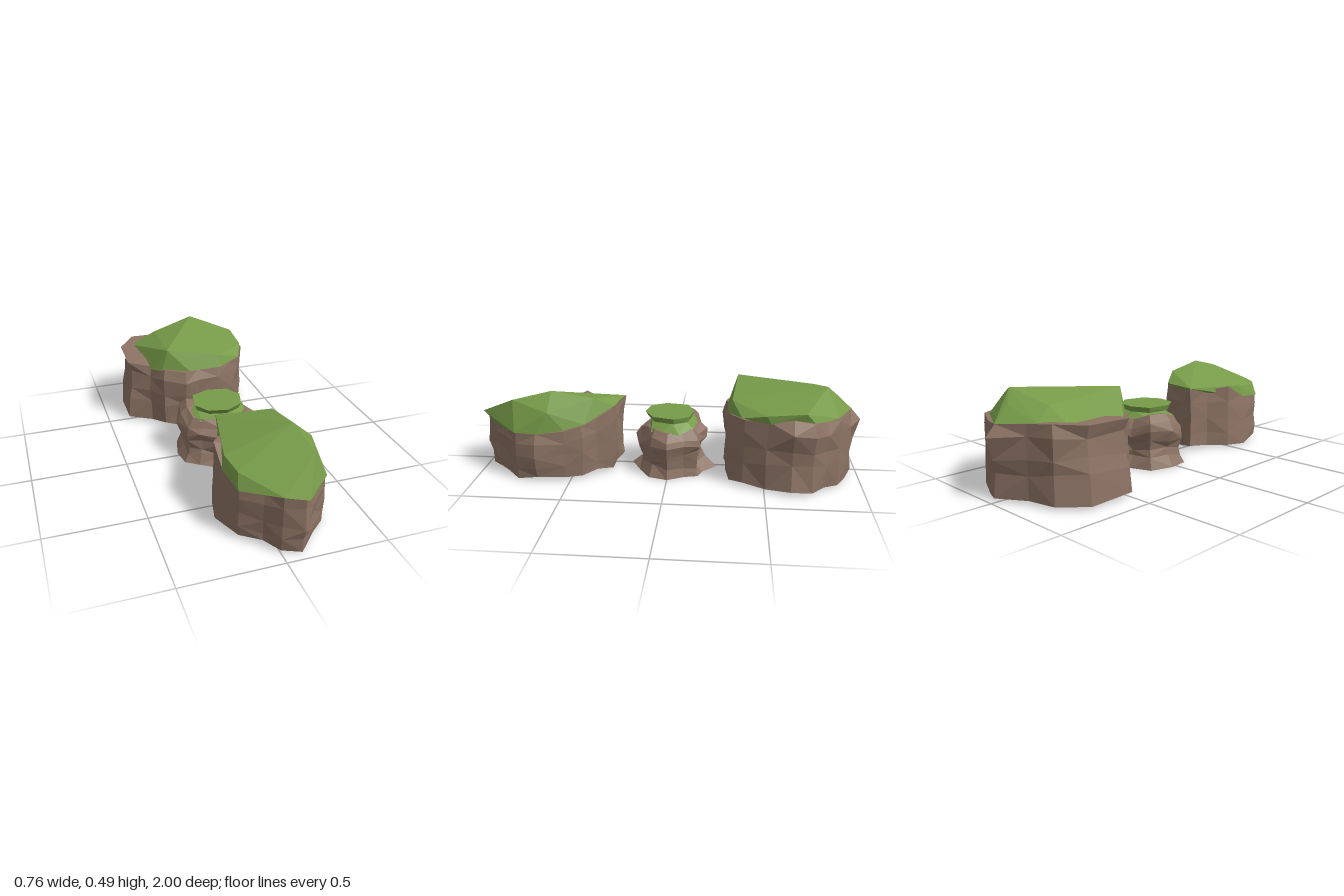
import * as THREE from 'three';
import { ConvexGeometry } from 'three/addons/geometries/ConvexGeometry.js';

const stone = new THREE.MeshStandardMaterial({ color: 0x8c7364, flatShading: true, side: THREE.DoubleSide });
stone.name = 'brown stone';
const moss = new THREE.MeshStandardMaterial({ color: 0x779c49, flatShading: true });
moss.name = 'green moss';

function seeded(seed) {
  return () => (seed = (seed * 16807) % 2147483647) / 2147483647;
}

// Craggy body: outline rows are [x, z, top height, optional scale per level],
// levels are [fraction of height, scale about the centre]
function stoneBody({ outline, levels, centre: [cx, cz], rough, baseLift, seed, openBase }) {
  const rand = seeded(seed);
  const n = outline.length;
  const rings = levels.map(([t, s], k) => outline.map(([x, z, top, scales]) => {
    const edge = k === 0 || k === levels.length - 1;
    const loose = Math.min(1.01, s + (rand() - 0.5) * (edge ? 0.03 : rough));
    const scale = scales ? scales[k] : loose;
    const shift = rand();
    const lift = k === 0 ? shift * baseLift : edge ? 0 : (shift - 0.5) * 0.03;
    return [cx + (x - cx) * scale, t * top + lift, cz + (z - cz) * scale];
  }));
  const pos = [];
  for (let k = 0; k < rings.length - 1; k++) {
    for (let i = 0; i < n; i++) {
      const j = (i + 1) % n;
      const a = rings[k][j], b = rings[k][i], c = rings[k + 1][i], d = rings[k + 1][j];
      if ((i + k) % 2) pos.push(...a, ...b, ...c, ...a, ...c, ...d);
      else pos.push(...a, ...b, ...d, ...b, ...c, ...d);
    }
  }
  // Caps
  const topRing = rings[rings.length - 1];
  const meanTop = topRing.reduce((sum, p) => sum + p[1], 0) / n;
  for (let i = 0; i < n; i++) {
    const j = (i + 1) % n;
    pos.push(...topRing[j], ...topRing[i], cx, meanTop, cz);
    if (!openBase) pos.push(...rings[0][i], ...rings[0][j], cx, 0.015, cz);
  }
  const geo = new THREE.BufferGeometry();
  geo.setAttribute('position', new THREE.Float32BufferAttribute(pos, 3));
  geo.computeVertexNormals();
  return geo;
}

function rock(name, spec) {
  const group = new THREE.Group();
  group.name = name;
  const body = new THREE.Mesh(stoneBody(spec), stone);
  body.name = name + 'Stone';
  group.add(body);
  spec.caps.forEach((cap, i) => {
    const top = new THREE.Mesh(new ConvexGeometry(cap.map(p => new THREE.Vector3(...p))), moss);
    top.name = name + 'Moss' + (i + 1);
    group.add(top);
  });
  return group;
}

// Large rock at the back, with a bare shoulder jutting out on its right
const shoulder = [1, 0.97, 0.93, 0.91, 0.97];
const backRock = {
  centre: [0, -0.64], rough: 0.06, baseLift: 0.03, seed: 11,
  levels: [[0, 0.97], [0.38, 0.96], [0.58, 0.97], [0.84, 0.985], [1, 0.94]],
  outline: [
    [0.02, -1.0, 0.355, [0.92, 0.88, 0.92, 1, 0.86]], [0.12, -0.94, 0.35], [0.24, -0.88, 0.36],
    [0.28, -0.81, 0.36], [0.35, -0.74, 0.37], [0.378, -0.63, 0.385, [0.97, 0.9, 0.92, 1, 0.87]],
    [0.33, -0.5, 0.37], [0.28, -0.38, 0.36], [0.2, -0.31, 0.36], [0.12, -0.29, 0.35],
    [0, -0.3, 0.35], [-0.08, -0.28, 0.35], [-0.2, -0.33, 0.36], [-0.26, -0.43, 0.35],
    [-0.38, -0.49, 0.37, shoulder], [-0.375, -0.73, 0.375, shoulder],
    [-0.28, -0.86, 0.385, [0.97, 0.94, 0.97, 1, 0.96]], [-0.14, -0.9, 0.37],
  ],
  caps: [[
    [-0.165, 0.472, -0.36], [-0.14, 0.435, -0.77], [0.1, 0.492, -0.81], [0.03, 0.43, -0.87],
    [0.325, 0.418, -0.69], [0.32, 0.4, -0.5], [0.13, 0.42, -0.33], [0.27, 0.37, -0.38],
    [0.13, 0.355, -0.305], [-0.05, 0.35, -0.31], [-0.2, 0.35, -0.36], [-0.25, 0.345, -0.42],
    [-0.29, 0.365, -0.77], [-0.18, 0.37, -0.86], [0.02, 0.355, -0.95], [0.2, 0.36, -0.86],
    [0.31, 0.36, -0.74], [0.32, 0.36, -0.52],
  ]],
};

// Small layered rock in the middle, hollow underneath
const steepSide = [0.94, 0.88, 0.9, 0.92, 1, 0.95, 0.74];
const middleRock = {
  centre: [0.01, -0.01], rough: 0.11, baseLift: 0, seed: 29, openBase: true,
  levels: [[0, 0.99], [0.2, 0.83], [0.36, 0.83], [0.53, 0.85], [0.68, 0.95], [0.84, 0.88], [1, 0.72]],
  outline: [
    [0.02, -0.255, 0.25, [1, 0.74, 0.65, 0.6, 0.78, 0.78, 0.6]], [0.1, -0.18, 0.24], [0.17, -0.17, 0.25, steepSide],
    [0.19, -0.09, 0.25, steepSide], [0.24, 0, 0.24, steepSide], [0.2, 0.1, 0.25], [0.1, 0.16, 0.24],
    [-0.01, 0.21, 0.24, [1, 0.74, 0.82, 0.87, 0.9, 0.77, 0.55]], [-0.13, 0.13, 0.25], [-0.2, 0.08, 0.25],
    [-0.215, -0.03, 0.28], [-0.18, -0.16, 0.28], [-0.06, -0.2, 0.25],
  ],
  caps: [
    // Flat lip
    [
      [0.0, 0.31, -0.13], [0.1, 0.31, -0.11], [0.15, 0.31, -0.03], [0.12, 0.31, 0.08],
      [0.03, 0.31, 0.13], [-0.07, 0.31, 0.11], [-0.12, 0.31, 0.03], [-0.1, 0.31, -0.09],
      [0.0, 0.28, -0.12], [0.1, 0.28, -0.1], [0.14, 0.28, -0.03], [0.11, 0.28, 0.07],
      [0.03, 0.28, 0.11], [-0.06, 0.28, 0.09], [-0.11, 0.28, 0.03], [-0.09, 0.28, -0.08],
    ],
    // Skirt spreading on to the stone
    [
      [0.0, 0.285, -0.11], [0.1, 0.285, -0.09], [0.13, 0.285, -0.02], [0.03, 0.285, 0.09],
      [-0.1, 0.285, 0.02], [0.01, 0.25, -0.15], [0.12, 0.25, -0.13], [0.18, 0.235, -0.06],
      [0.17, 0.235, 0.03], [0.14, 0.235, 0.09], [0.02, 0.235, 0.11], [-0.11, 0.24, 0.09],
      [-0.16, 0.255, 0], [-0.13, 0.26, -0.12],
    ],
  ],
};

// Long rock at the front, peaked and pointed towards +z
const frontRock = {
  centre: [0.06, 0.61], rough: 0.05, baseLift: 0.03, seed: 53,
  levels: [[0, 0.96], [0.25, 0.975], [0.5, 0.975], [0.78, 0.98], [1, 0.96]],
  outline: [
    [-0.08, 0.25, 0.36, [0.96, 0.94, 0.94, 0.96, 1]], [0, 0.28, 0.35], [0.13, 0.28, 0.35],
    [0.18, 0.36, 0.31], [0.25, 0.43, 0.29], [0.28, 0.52, 0.27],
    [0.32, 0.67, 0.26, [0.92, 0.97, 1, 0.98, 0.91]],
    [0.28, 0.78, 0.26], [0.2, 0.86, 0.26], [0.15, 0.92, 0.28], [0.09, 0.985, 0.3],
    [0, 0.94, 0.3], [-0.06, 0.86, 0.28], [-0.15, 0.78, 0.27],
    [-0.2, 0.6, 0.29, [1, 0.98, 0.95, 0.92, 0.88]],
    [-0.18, 0.48, 0.355, [0.98, 0.98, 0.96, 0.95, 0.95]], [-0.1, 0.38, 0.34],
  ],
  caps: [[
    [0.18, 0.457, 0.6], [0.2, 0.41, 0.8], [0.17, 0.42, 0.38], [-0.05, 0.365, 0.62],
    [-0.155, 0.345, 0.6], [-0.135, 0.33, 0.73], [0.12, 0.365, 0.285], [-0.08, 0.362, 0.255],
    [-0.02, 0.345, 0.28], [0, 0.305, 0.945], [0.09, 0.31, 1.0], [0.15, 0.27, 0.92],
    [-0.06, 0.285, 0.865], [-0.15, 0.265, 0.78], [-0.17, 0.28, 0.62], [0.2, 0.255, 0.86],
    [0.28, 0.26, 0.78], [0.3, 0.26, 0.66], [0.28, 0.28, 0.52], [0.24, 0.3, 0.42],
    [0.28, 0.37, 0.6], [-0.1, 0.32, 0.4],
  ]],
};

export function createModel() {
  const group = new THREE.Group();
  group.name = 'mossyRocks';
  group.add(rock('backRock', backRock), rock('middleRock', middleRock), rock('frontRock', frontRock));
  return group;
}
